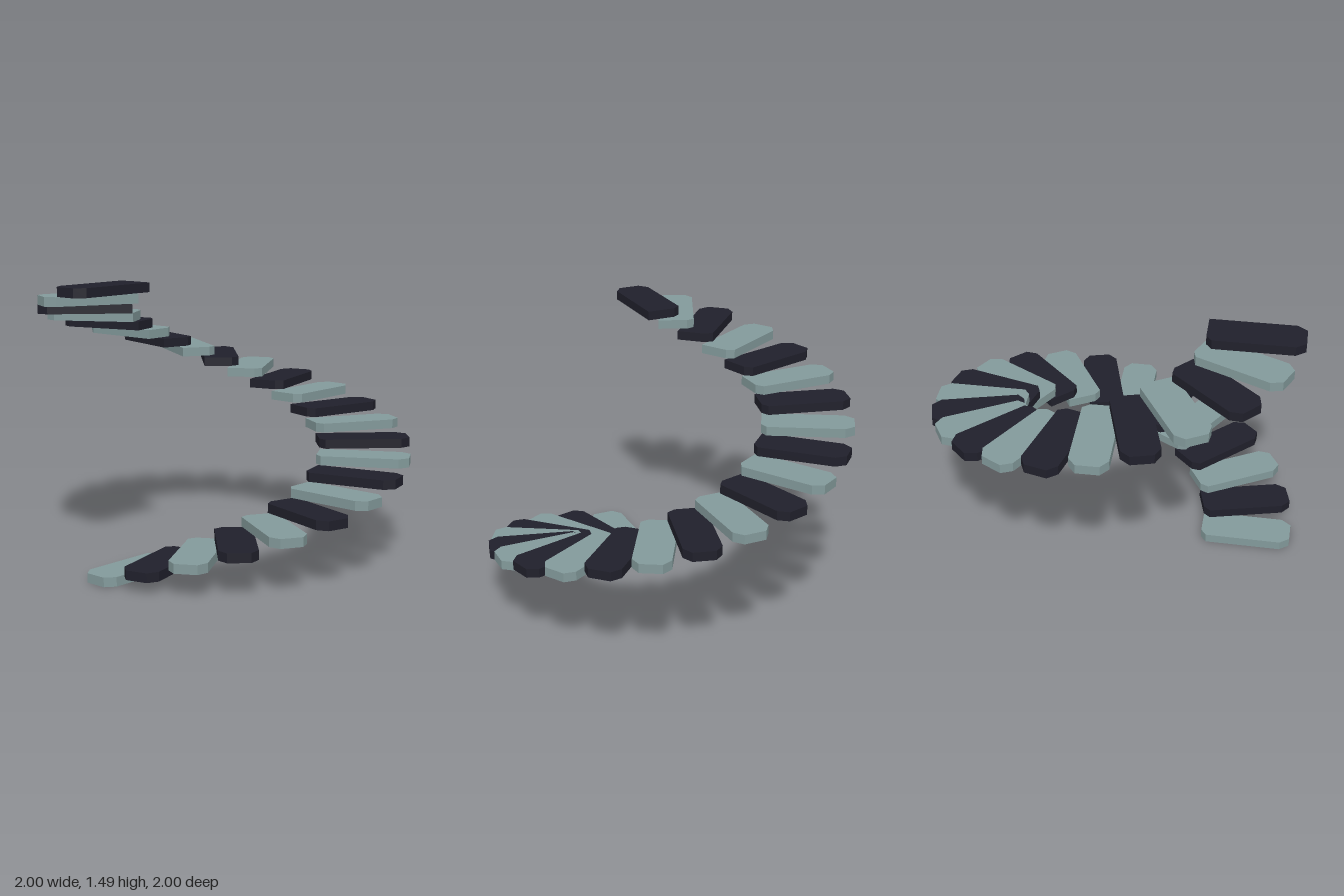
import * as THREE from 'three';

const COUNT = 24, THICK = 0.05, RISE = 0.0628, RADIUS = 0.75;
const TURN = THREE.MathUtils.degToRad(15.07);

// One tread: outer end at +z with clipped corners, a small clip on the trailing inner corner
function treadGeometry() {
  const outline = [
    [-0.06, -0.25], [0.1, -0.25], [0.1, 0.198], [0.06, 0.25],
    [-0.06, 0.25], [-0.1, 0.198], [-0.1, -0.22],
  ];
  const shape = new THREE.Shape(outline.map(([x, y]) => new THREE.Vector2(x, y)));
  const geo = new THREE.ExtrudeGeometry(shape, { depth: THICK, bevelEnabled: false });
  geo.rotateX(Math.PI / 2);
  geo.translate(0, THICK, 0);
  return geo;
}

export function createModel() {
  const group = new THREE.Group();
  group.name = 'spiralStaircase';

  const paleGrey = new THREE.MeshStandardMaterial({ color: 0x839a9b });
  paleGrey.name = 'paleGreyGreen';
  const darkSlate = new THREE.MeshStandardMaterial({ color: 0x20202b });
  darkSlate.name = 'darkSlate';

  // The top treads straighten out where the spiral ends: [x, z, heading in degrees]
  const topTreads = {
    20: [-0.64, 0.39, -60],
    21: [-0.515, 0.575, -42.5],
    22: [-0.37, 0.693, -24.5],
    23: [-0.208, 0.743, 0],
  };

  const geo = treadGeometry();
  for (let i = 0; i < COUNT; i++) {
    const tread = new THREE.Mesh(geo, i % 2 ? darkSlate : paleGrey);
    tread.name = `tread${i + 1}`;
    const angle = Math.PI + (i - 12) * TURN;
    const [x, z, heading] = topTreads[i] ??
      [RADIUS * Math.sin(angle), RADIUS * Math.cos(angle), THREE.MathUtils.radToDeg(angle)];
    tread.position.set(x, i * RISE, z);
    tread.rotation.y = THREE.MathUtils.degToRad(heading);
    group.add(tread);
  }
  return group;
}
